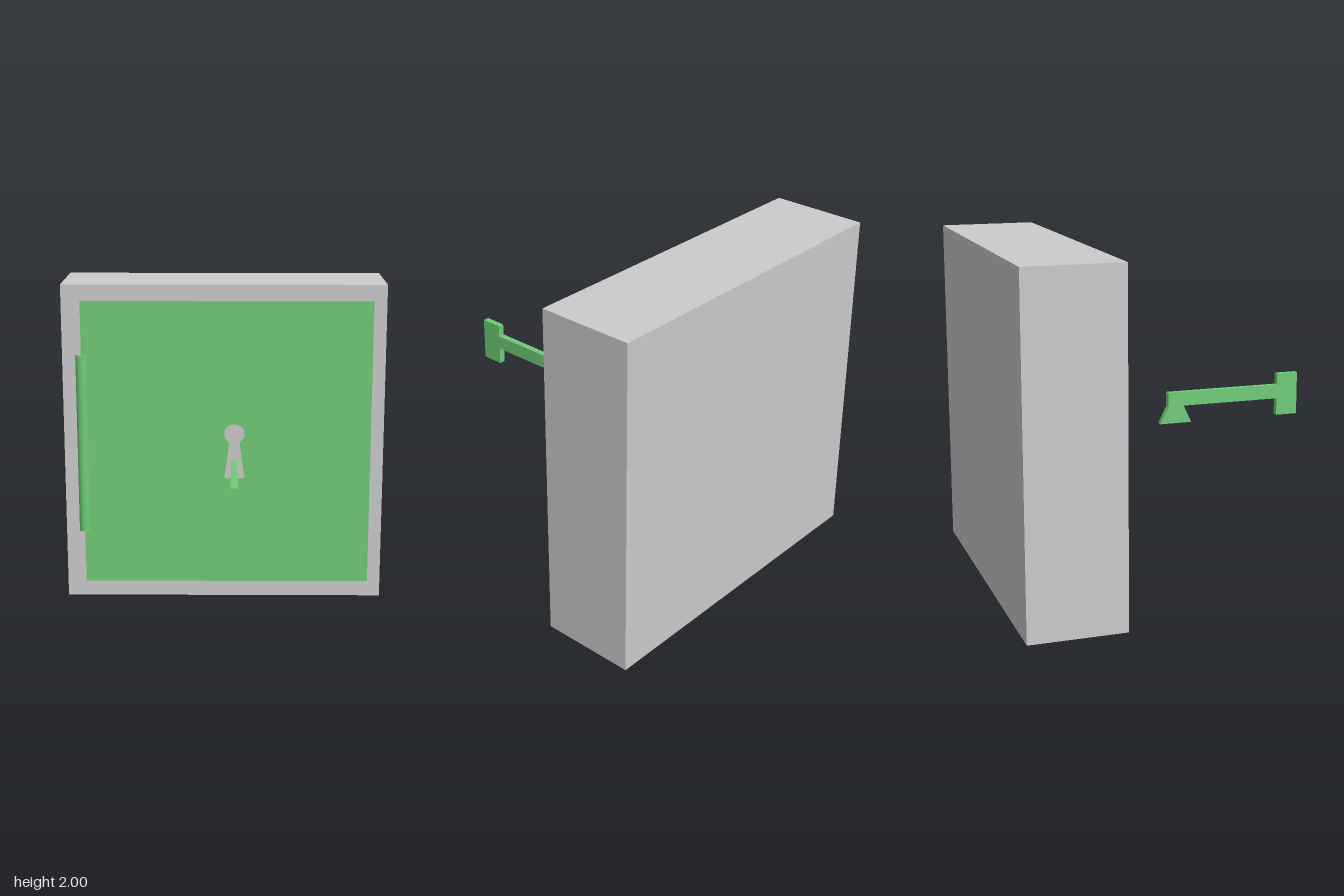
import * as THREE from 'three';

const grey = new THREE.MeshStandardMaterial({ color: 0xcccccc });
const green = new THREE.MeshStandardMaterial({ color: 0x70cc78 });

function part(name, geometry, material, x = 0, y = 0, z = 0) {
  const mesh = new THREE.Mesh(geometry, material);
  mesh.name = name;
  mesh.position.set(x, y, z);
  return mesh;
}

// Round top joined to a flared slot
function keyholePath(cx, cy, r) {
  const a = Math.PI / 3;
  const hole = new THREE.Path();
  hole.moveTo(cx - r, 0.78);
  hole.lineTo(cx + r, 0.78);
  hole.lineTo(cx + r * Math.cos(a), cy - r * Math.sin(a));
  hole.absarc(cx, cy, r, -a, Math.PI + a, false);
  hole.closePath();
  return hole;
}

export function createModel() {
  const model = new THREE.Group();
  model.name = 'safeWithKey';

  // Safe body
  const front = -0.435;
  model.add(part('body', new THREE.BoxGeometry(1.995, 2, 0.565), grey, 0, 1, -0.7175));

  // Thin door with the keyhole cut through it
  const doorShape = new THREE.Shape([
    [-0.88, 0.1], [0.917, 0.1], [0.917, 1.9], [-0.88, 1.9],
  ].map(([x, y]) => new THREE.Vector2(x, y)));
  doorShape.holes.push(keyholePath(0.066, 1.067, 0.064));
  const doorGeometry = new THREE.ExtrudeGeometry(doorShape, {
    depth: 0.012, bevelEnabled: false, curveSegments: 24,
  });
  model.add(part('door', doorGeometry, green, 0, 0, front));

  // Hinge pin, half sunk in the body
  model.add(part('hinge', new THREE.CylinderGeometry(0.038, 0.038, 1.13, 32), green, -0.878, 1, -0.438));

  // Key: side profile as (z, y), extruded across x
  const profile = [
    [1, 0.86], [1, 1.12], [0.865, 1.12], [0.865, 1.05], [0.155, 1.05], [0.155, 0.965],
    [0.105, 0.86], [0.303, 0.86], [0.255, 0.965], [0.865, 0.965], [0.865, 0.86],
  ];
  const keyGeometry = new THREE.ExtrudeGeometry(
    new THREE.Shape(profile.map(([z, y]) => new THREE.Vector2(z, y))),
    { depth: 0.038, bevelEnabled: false },
  ).rotateY(-Math.PI / 2);
  model.add(part('key', keyGeometry, green, 0.085));

  return model;
}
